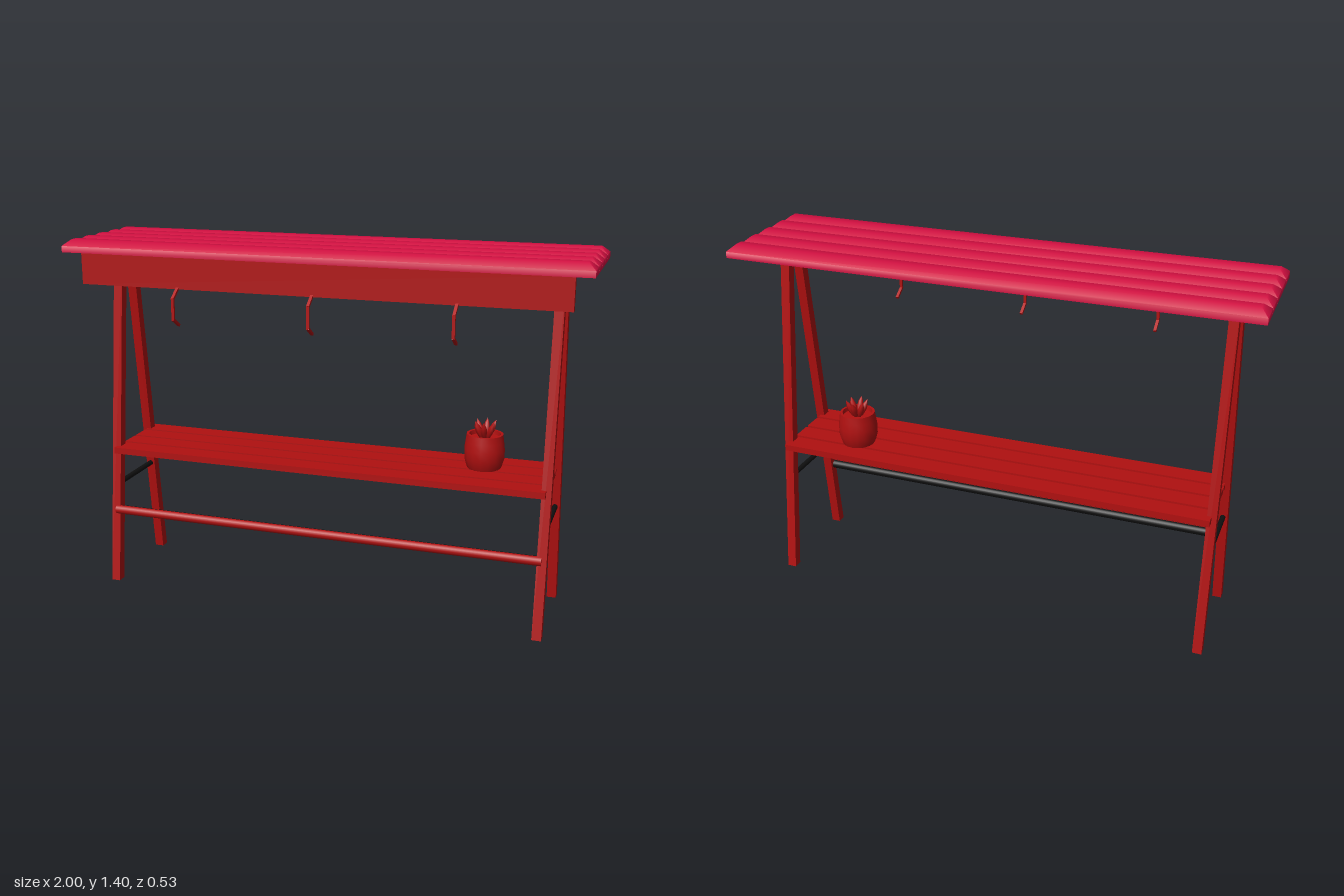
import * as THREE from 'three';
import { mergeVertices, toCreasedNormals } from 'three/addons/utils/BufferGeometryUtils.js';

const red = new THREE.MeshStandardMaterial({ color: 0xb01010 });
red.name = 'red';
const crimson = new THREE.MeshStandardMaterial({ color: 0xd00f40 });
crimson.name = 'crimson';
const black = new THREE.MeshStandardMaterial({ color: 0x101010 });
black.name = 'black';

export function createModel() {
  const model = new THREE.Group();
  model.name = 'pottingBench';

  const add = (name, geo, mat, x = 0, y = 0, z = 0, parent = model) => {
    const mesh = new THREE.Mesh(geo, mat);
    mesh.name = name;
    mesh.position.set(x, y, z);
    parent.add(mesh);
    return mesh;
  };
  const box = (name, w, h, d, x, y, z) => add(name, new THREE.BoxGeometry(w, h, d), red, x, y, z);

  // Roof planks: boxes whose top edges are bevelled inward
  const plank = new THREE.BoxGeometry(2, 0.048, 0.1, 1, 2, 1);
  const p = plank.attributes.position;
  for (let i = 0; i < p.count; i++) {
    if (p.getY(i) > 0.01) {
      p.setX(i, Math.sign(p.getX(i)) * 0.972);
      p.setZ(i, Math.sign(p.getZ(i)) * 0.018);
    }
  }
  plank.deleteAttribute('uv');
  plank.deleteAttribute('normal');
  const plankGeo = toCreasedNormals(mergeVertices(plank), 1.0);
  for (let i = 0; i < 5; i++) add('roofPlank', plankGeo, crimson, 0, 1.376, 0.195 - i * 0.1013);

  // Fascia board and roof cross beams
  box('fascia', 1.865, 0.122, 0.024, 0, 1.291, 0.206);
  for (const x of [-0.73, 0, 0.73]) box('roofBeam', 0.04, 0.042, 0.265, x, 1.331, -0.007);

  // Splayed legs: boxes sheared between foot and top
  const leg = (x, zFoot, zTop) => {
    const geo = new THREE.BoxGeometry(0.036, 1.345, 0.037);
    const q = geo.attributes.position;
    for (let i = 0; i < q.count; i++) q.setZ(i, q.getZ(i) + (q.getY(i) < 0 ? zFoot : zTop));
    geo.computeVertexNormals();
    add(zFoot > 0 ? 'frontLeg' : 'backLeg', geo, red, x, 0.6725, 0);
  };
  for (const x of [-0.866, 0.866]) {
    leg(x, 0.191, 0.031);
    leg(x, -0.207, -0.049);
    const bar = new THREE.CylinderGeometry(0.0105, 0.0105, 0.272, 12).rotateX(Math.PI / 2);
    add('sideBar', bar, black, x, 0.402, -0.008);
  }

  // Shelf slats
  for (let i = 0; i < 4; i++) box('shelfSlat', 1.73, 0.025, 0.08, 0, 0.549, 0.127 - i * 0.0937);

  // Front rail: red front half, black rear half
  const rail = (name, start, mat) => add(name,
    new THREE.CylinderGeometry(0.018, 0.018, 1.73, 10, 1, false, start, Math.PI).rotateZ(Math.PI / 2),
    mat, 0, 0.298, 0.167);
  rail('railFront', -Math.PI / 2, red);
  rail('railBack', Math.PI / 2, black);

  // Hooks bent from short straight bars
  const path = [[1.235, 0.214], [1.202, 0.26], [1.122, 0.26], [1.095, 0.218]];
  for (const x of [-0.533, 0, 0.533]) {
    const hook = new THREE.Group();
    hook.name = 'hook';
    hook.position.x = x;
    for (let i = 0; i < 3; i++) {
      const [y0, z0] = path[i], [y1, z1] = path[i + 1];
      const len = Math.hypot(y1 - y0, z1 - z0) + 0.006;
      const part = add('hookBar', new THREE.BoxGeometry(0.011, len, 0.009), red, 0, (y0 + y1) / 2, (z0 + z1) / 2, hook);
      part.rotation.x = Math.atan2(z0 - z1, y0 - y1);
    }
    model.add(hook);
  }

  // Pot with recessed soil
  const plant = new THREE.Group();
  plant.name = 'pottedPlant';
  plant.position.set(0.598, 0.561, -0.06);
  model.add(plant);
  const profile = [[0, 0], [0.064, 0], [0.069, 0.012], [0.077, 0.04], [0.078, 0.075], [0.074, 0.105],
    [0.07, 0.134], [0.06, 0.134], [0.058, 0.118], [0, 0.118]].map(([r, y]) => new THREE.Vector2(r, y));
  add('pot', toCreasedNormals(new THREE.LatheGeometry(profile, 16), 0.7), red, 0, 0, 0, plant);

  // Pointed leaves fanning outward
  const leafProfile = [[0, 0], [0.008, 0], [0.013, 0.035], [0.009, 0.055], [0, 0.075]]
    .map(([r, y]) => new THREE.Vector2(r, y));
  const leafGeo = new THREE.LatheGeometry(leafProfile, 6);
  for (let i = 0; i < 6; i++) {
    const a = (i / 6) * Math.PI * 2;
    const leaf = add('leaf', leafGeo, red, Math.sin(a) * 0.012, 0.117, Math.cos(a) * 0.012, plant);
    leaf.rotation.set(0.42, a, 0, 'YXZ');
  }

  return model;
}
